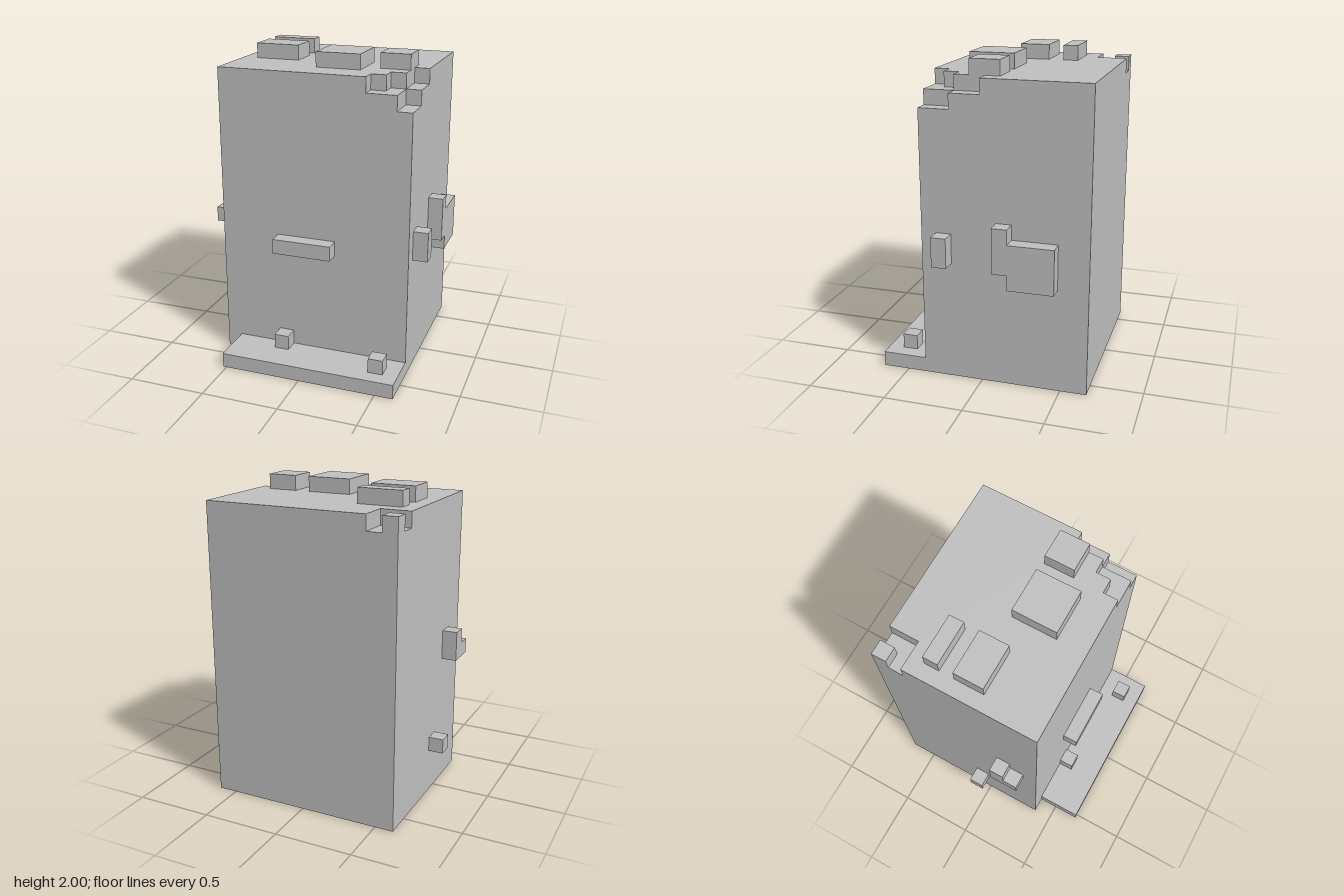
import * as THREE from 'three';

const U = 2 / 21; // one block unit

export function createModel() {
  const group = new THREE.Group();
  const grey = new THREE.MeshStandardMaterial({ color: 0xc0c0c0 });
  grey.name = 'light grey';

  const add = (name, geometry) => {
    const mesh = new THREE.Mesh(geometry, grey);
    mesh.name = name;
    group.add(mesh);
  };

  // Box given by its limits in block units
  const box = (name, [x0, x1], [y0, y1], [z0, z1]) => {
    const g = new THREE.BoxGeometry((x1 - x0) * U, (y1 - y0) * U, (z1 - z0) * U);
    g.translate(((x0 + x1) / 2) * U, ((y0 + y1) / 2) * U, ((z0 + z1) / 2) * U);
    add(name, g);
  };

  // Slab with an [x, z] outline, from y0 to y1
  const slab = (name, y0, y1, outline) => {
    const shape = new THREE.Shape(outline.map(([x, z]) => new THREE.Vector2(x * U, -z * U)));
    const g = new THREE.ExtrudeGeometry(shape, { depth: (y1 - y0) * U, bevelEnabled: false });
    g.rotateX(-Math.PI / 2);
    g.translate(0, y0 * U, 0);
    add(name, g);
  };

  // Body, with the front left corner stepped and the back right corner notched
  box('body', [-6.5, 6.5], [0, 18], [-7, 4]);
  slab('lowerStep', 18, 19, [[-6.5, 4], [5.5, 4], [5.5, 2], [6.5, 2], [6.5, -7], [-6.5, -7]]);
  slab('upperStep', 19, 20, [
    [-6.5, 4], [3.5, 4], [3.5, 3], [4.5, 3], [4.5, 2], [5.5, 2], [5.5, 0], [6.5, 0],
    [6.5, -7], [-4.5, -7], [-4.5, -5], [-6.5, -5],
  ]);
  box('cornerPost', [-6.5, -5.5], [19, 20], [-7, -6]);

  // Front ledge with its studs and the bar above
  box('frontLedge', [-5.5, 6.5], [0, 1], [4, 7]);
  box('ledgeStudRight', [-2.5, -1.5], [1, 2], [4, 5]);
  box('ledgeStudLeft', [4.5, 5.5], [1, 2], [5, 6]);
  box('frontBar', [-2.5, 1.5], [8, 9], [4, 5]);

  // Raised plates on top
  box('topBar', [-5.5, -2.5], [20, 21], [-4, -3]);
  box('topPlateRight', [-5.5, -2.5], [20, 21], [-2, 0]);
  box('topPlateMiddle', [-0.5, 2.5], [20, 21], [-1, 2]);
  box('topPlateLeft', [3.5, 5.5], [20, 21], [-1, 1]);

  // Left side blocks
  box('leftPeg', [6.5, 7.5], [8, 10], [2, 3]);
  box('leftUpright', [6.5, 7.5], [8, 11], [-2, -1]);
  box('leftPanel', [6.5, 7.5], [7, 10], [-5, -2]);

  // Right side blocks
  box('rightUpright', [-7.5, -6.5], [9, 11], [1, 2]);
  box('rightFoot', [-7.5, -6.5], [9, 10], [2, 3]);
  box('rightStud', [-7.5, -6.5], [3, 4], [-1, 0]);

  return group;
}
